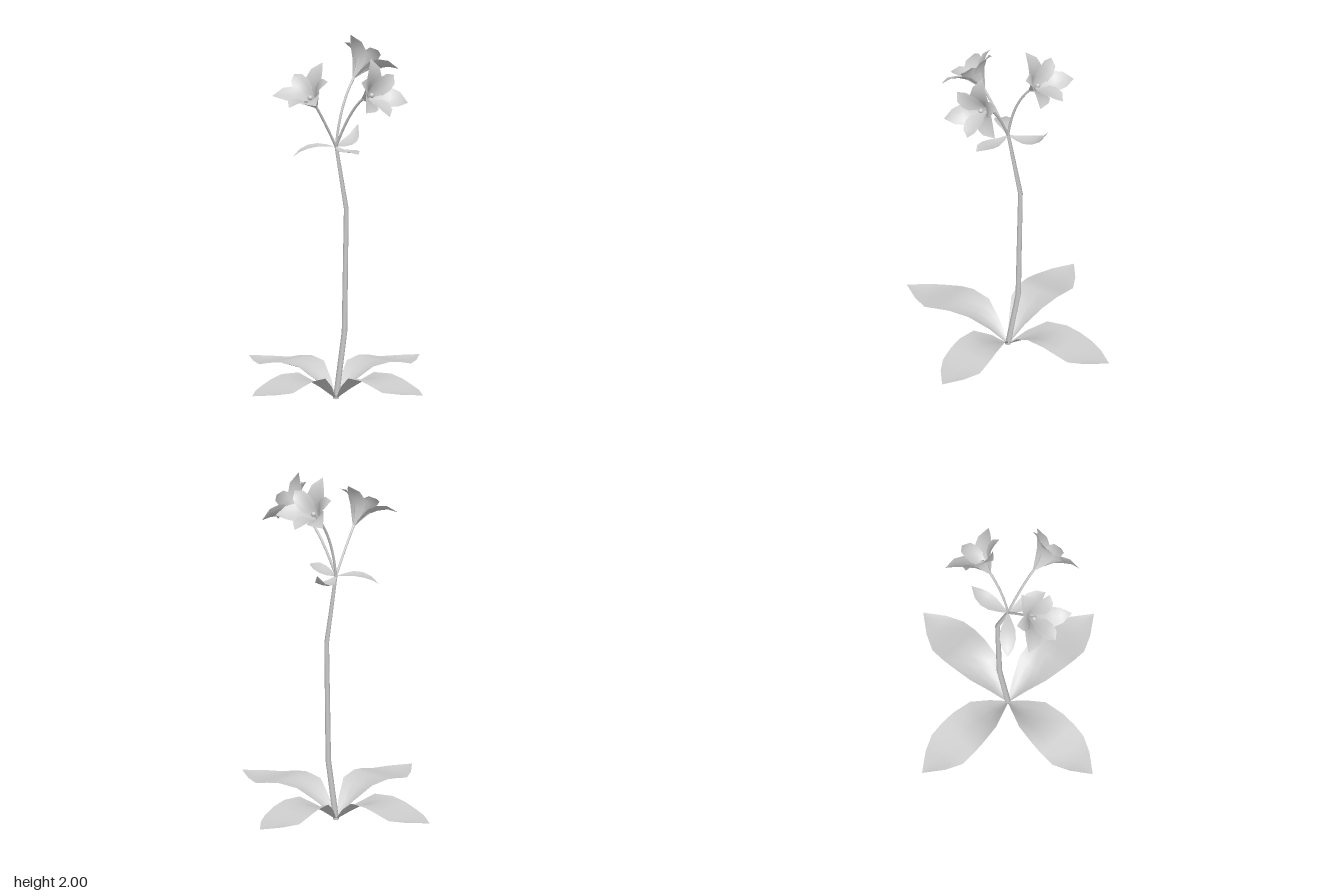
import * as THREE from 'three';

const material = new THREE.MeshStandardMaterial({ color: 0xcccccc, side: THREE.DoubleSide });

// Blade growing along +z. Each row: [distance, height, half width, edge raise].
function bladeGeometry(rows, columns = 4) {
  const positions = [], index = [];
  rows.forEach(([r, y, w, cup], i) => {
    const a = rows[Math.max(i - 1, 0)], b = rows[Math.min(i + 1, rows.length - 1)];
    const len = Math.hypot(b[0] - a[0], b[1] - a[1]);
    const nz = -(b[1] - a[1]) / len, ny = (b[0] - a[0]) / len;
    for (let j = 0; j <= columns; j++) {
      const s = (2 * j) / columns - 1;
      const lift = cup * s * s;
      positions.push(w * s, y + ny * lift, r + nz * lift);
      if (i && j) {
        const d = i * (columns + 1) + j, c = d - 1, q = d - columns - 1, p = q - 1;
        index.push(p, c, d, p, d, q);
      }
    }
  });
  const geometry = new THREE.BufferGeometry();
  geometry.setAttribute('position', new THREE.Float32BufferAttribute(positions, 3));
  geometry.setIndex(index);
  geometry.computeVertexNormals();
  return geometry;
}

function add(parent, name, geometry, yaw = 0) {
  const mesh = new THREE.Mesh(geometry, material);
  mesh.name = name;
  mesh.rotation.y = yaw;
  parent.add(mesh);
  return mesh;
}

const leafGeometry = bladeGeometry([
  [0, 0, 0.004, 0], [0.1, 0.07, 0.05, 0.025], [0.2, 0.135, 0.1, 0.03], [0.3, 0.165, 0.118, 0.005],
  [0.38, 0.155, 0.122, 0], [0.46, 0.13, 0.118, 0.002], [0.55, 0.122, 0.075, 0.008], [0.65, 0.13, 0.001, 0],
]);

// Outer petals are longer and broader than the inner ones
const outerPetal = bladeGeometry([
  [0.004, 0, 0.008, 0], [0.025, 0.045, 0.032, 0.008], [0.05, 0.09, 0.05, 0.012],
  [0.085, 0.125, 0.058, 0.01], [0.13, 0.152, 0.042, 0.004], [0.188, 0.155, 0.001, 0],
]);
const innerPetal = bladeGeometry([
  [0.004, 0, 0.007, 0], [0.022, 0.045, 0.026, 0.008], [0.045, 0.09, 0.042, 0.01],
  [0.075, 0.128, 0.046, 0.008], [0.11, 0.153, 0.036, 0.003], [0.145, 0.156, 0.001, 0],
]);

function createFlower(base, yaw, elevation) {
  const flower = new THREE.Group();
  flower.name = 'flower';
  flower.position.copy(base);
  flower.rotation.set(Math.PI / 2 - elevation, yaw, 0, 'YXZ');
  for (let i = 0; i < 3; i++) {
    const turn = (i * Math.PI * 2) / 3;
    add(flower, 'outerPetal', outerPetal, Math.PI + turn);
    add(flower, 'innerPetal', innerPetal, turn);
  }
  // Pistil
  add(flower, 'pistil', new THREE.CylinderGeometry(0.004, 0.005, 0.075, 6)).position.y = 0.0375;
  add(flower, 'pistilTip', new THREE.SphereGeometry(0.014, 10, 8)).position.y = 0.075;
  return flower;
}

// Main stem: rings of a cylinder moved to the bends; [x, y, radius]
function stemGeometry() {
  const bends = [[0, 0, 0.016], [0.066, 0.36, 0.015], [0.08, 1.04, 0.013], [0, 1.41, 0.009]];
  const geometry = new THREE.CylinderGeometry(1, 1, bends.length - 1, 8, bends.length - 1);
  const p = geometry.attributes.position;
  for (let i = 0; i < p.count; i++) {
    const [x, y, r] = bends[Math.round(p.getY(i) + (bends.length - 1) / 2)];
    p.setXYZ(i, x + p.getX(i) * r, y, p.getZ(i) * r);
  }
  return geometry;
}

export function createModel() {
  const plant = new THREE.Group();
  plant.name = 'floweringPlant';

  // Ground leaves
  for (let i = 0; i < 4; i++) add(plant, 'groundLeaf', leafGeometry, (i * Math.PI) / 2);

  add(plant, 'stem', stemGeometry());

  // Three bracts under the flowers: heading and heights along the blade
  const bracts = [
    [Math.PI * 1.25, [1.4, 1.405, 1.405, 1.395, 1.375, 1.345]],
    [-0.26, [1.4, 1.39, 1.392, 1.4, 1.408, 1.405]],
    [1.8, [1.4, 1.39, 1.388, 1.397, 1.42, 1.478]],
  ];
  const outline = [[0.003, 0.004], [0.05, 0.022], [0.1, 0.04], [0.15, 0.044], [0.195, 0.032], [0.232, 0.001]];
  for (const [yaw, heights] of bracts) {
    const rows = outline.map(([r, w], i) => [r, heights[i], w, 0.15 * w]);
    add(plant, 'bract', bladeGeometry(rows), yaw);
  }

  // Flower stalks and flowers: [end distance, end height, bend distance, bend height, yaw, elevation]
  const stalks = [
    [0.2, 1.7, 0.1, 1.62, 0, 0.44],
    [0.14, 1.76, 0.03, 1.63, Math.PI / 2, 0.8],
    [0.155, 1.65, 0.09, 1.56, -Math.PI / 2, 0.9],
  ];
  for (const [r, y, bendR, bendY, yaw, elevation] of stalks) {
    const at = (d, h) => new THREE.Vector3(Math.sin(yaw) * d, h, Math.cos(yaw) * d);
    const curve = new THREE.QuadraticBezierCurve3(at(0, 1.4), at(bendR, bendY), at(r, y));
    add(plant, 'flowerStalk', new THREE.TubeGeometry(curve, 10, 0.007, 6));
    plant.add(createFlower(at(r, y), yaw, elevation));
  }
  return plant;
}
